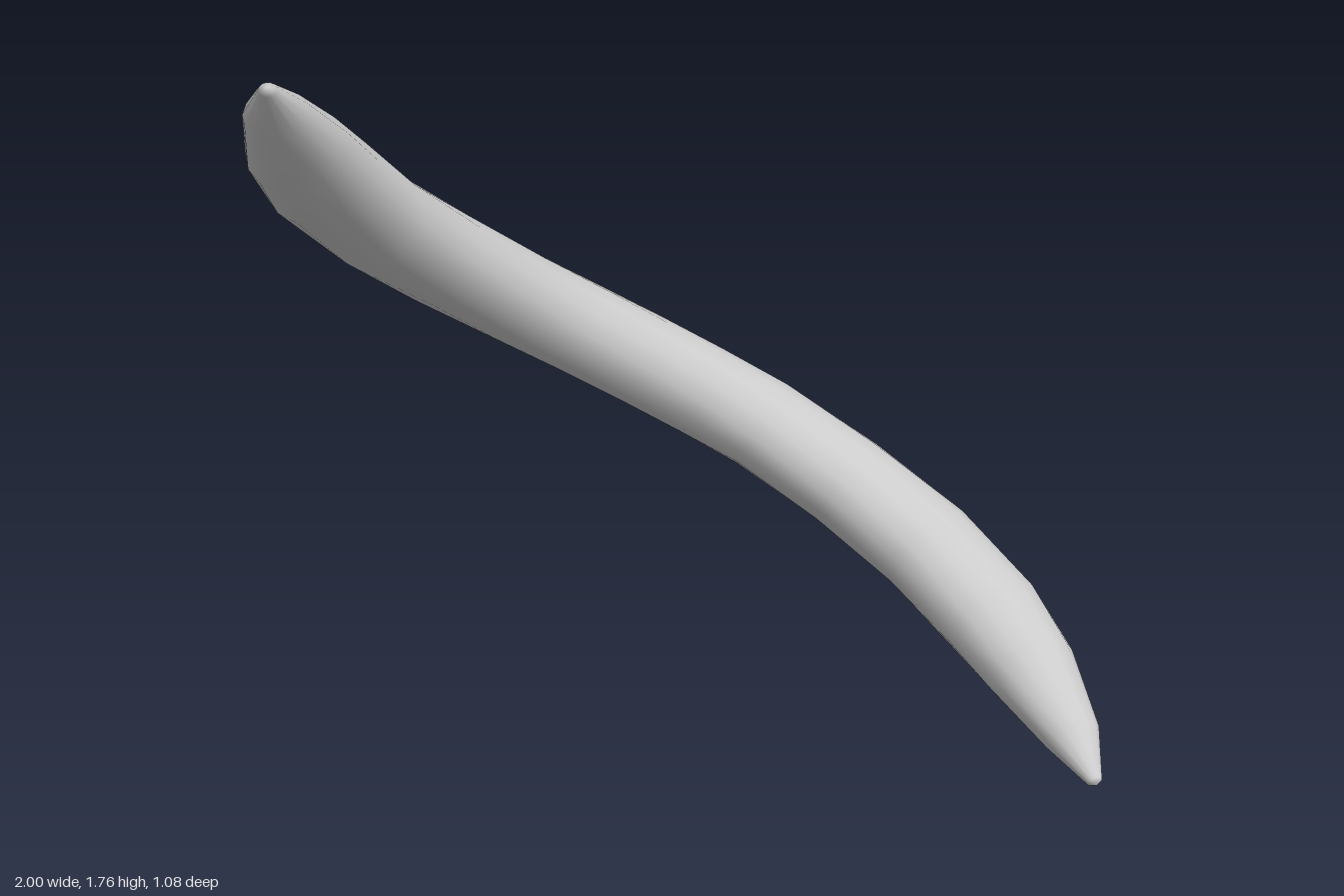
import * as THREE from 'three';

// Half of the sweep, middle to tip: [x, y, z, radius across the bend, radius along the height]
const HALF = [
  [0, 0.885, -0.408, 0.133, 0.122],
  [0.165, 0.79, -0.396, 0.135, 0.122],
  [0.32, 0.70, -0.357, 0.139, 0.123],
  [0.525, 0.562, -0.25, 0.146, 0.123],
  [0.70, 0.425, -0.09, 0.148, 0.122],
  [0.825, 0.288, 0.09, 0.144, 0.118],
  [0.88, 0.2, 0.235, 0.12, 0.104],
  [0.928, 0.09, 0.415, 0.073, 0.06],
  [0.946, 0.02, 0.525, 0.02, 0.017],
];
const MID_Y = 0.885;
const SIDES = 14;

// Oval rings swept along the stations, closed by a point at each end
function sweptHorn(stations) {
  const centres = stations.map(([x, y, z]) => new THREE.Vector3(x, y, z));
  const last = stations.length - 1;
  const up = new THREE.Vector3(0, 1, 0);
  const positions = [];
  const index = [];

  stations.forEach(([, , , across, high], i) => {
    const tangent = centres[Math.min(i + 1, last)].clone()
      .sub(centres[Math.max(i - 1, 0)]).normalize();
    const n = tangent.clone().cross(up).normalize();
    const b = tangent.clone().cross(n);
    for (let j = 0; j < SIDES; j++) {
      const a = (j / SIDES) * Math.PI * 2;
      const p = centres[i].clone()
        .addScaledVector(n, Math.cos(a) * across)
        .addScaledVector(b, Math.sin(a) * high);
      positions.push(p.x, p.y, p.z);
    }
  });

  // End points just beyond the first and last rings
  const start = (last + 1) * SIDES;
  const end = start + 1;
  for (const [tip, inner] of [[0, 1], [last, last - 1]]) {
    const dir = centres[tip].clone().sub(centres[inner]).normalize();
    const p = centres[tip].clone().addScaledVector(dir, 0.012);
    positions.push(p.x, p.y, p.z);
  }

  for (let j = 0; j < SIDES; j++) {
    const k = (j + 1) % SIDES;
    for (let i = 0; i < last; i++) {
      const a = i * SIDES + j, b = i * SIDES + k;
      index.push(a, b, a + SIDES, b, b + SIDES, a + SIDES);
    }
    index.push(start, k, j);
    index.push(end, last * SIDES + j, last * SIDES + k);
  }

  const geometry = new THREE.BufferGeometry();
  geometry.setAttribute('position', new THREE.Float32BufferAttribute(positions, 3));
  geometry.setIndex(index);
  geometry.computeVertexNormals();
  return geometry;
}

export function createModel() {
  const group = new THREE.Group();
  group.name = 'curvedHorn';

  // The other half is a half turn about the z direction at mid height
  const other = HALF.slice(1).reverse()
    .map(([x, y, z, w, h]) => [-x, 2 * MID_Y - y, z, w, h]);

  const horn = new THREE.Mesh(
    sweptHorn([...other, ...HALF]),
    new THREE.MeshStandardMaterial({ color: 0xcccccc }),
  );
  horn.name = 'taperedHorn';
  group.add(horn);
  return group;
}
